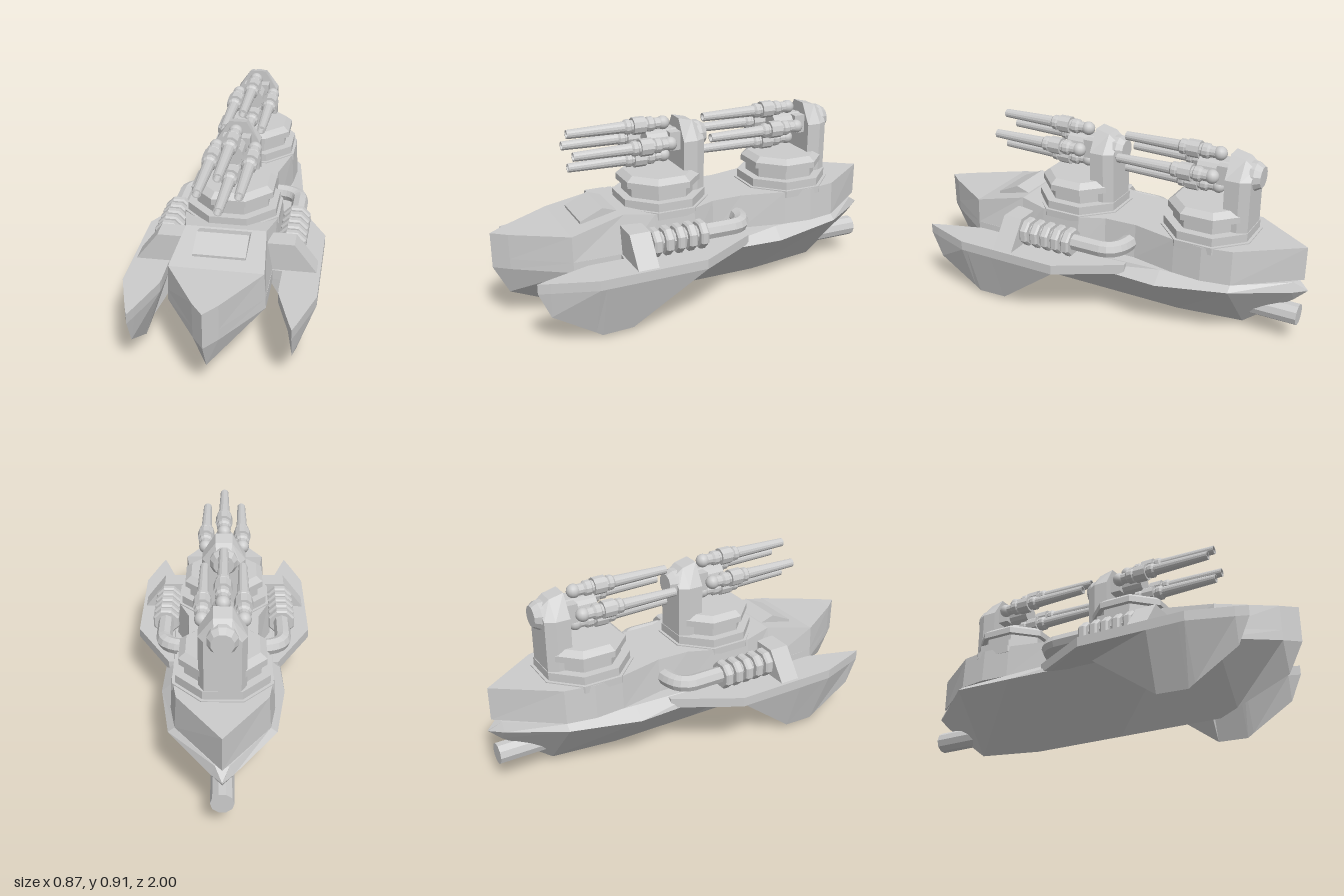
import * as THREE from 'three';

const flat = new THREE.MeshStandardMaterial({ color: 0xcccccc, flatShading: true, side: THREE.DoubleSide });
const smooth = new THREE.MeshStandardMaterial({ color: 0xcccccc });

function add(parent, name, geometry, material = flat) {
  const mesh = new THREE.Mesh(geometry, material);
  mesh.name = name;
  parent.add(mesh);
  return mesh;
}

// Skin equal-length rings of [x, y], given as [z, ring] from back to front; side -1 mirrors in x
function loft(sections, side = 1) {
  const n = sections[0][1].length, pos = [], idx = [];
  for (const [z, ring] of sections) {
    const pts = side < 0 ? ring.map(([x, y]) => [-x, y]).reverse() : ring;
    for (const [x, y] of pts) pos.push(x, y, z);
  }
  const last = (sections.length - 1) * n;
  for (let s = 0; s < last; s += n) {
    for (let i = 0; i < n; i++) {
      const j = (i + 1) % n;
      idx.push(s + i, s + j, s + n + i, s + j, s + n + j, s + n + i);
    }
  }
  for (let i = 1; i < n - 1; i++) {
    idx.push(0, i + 1, i, last, last + i, last + i + 1);
  }
  const g = new THREE.BufferGeometry();
  g.setAttribute('position', new THREE.Float32BufferAttribute(pos, 3));
  g.setIndex(idx);
  g.computeVertexNormals();
  return g;
}

// Turned solid along z from [radius, z] points
function turnedZ(points, sides) {
  return new THREE.LatheGeometry(points.map(([r, z]) => new THREE.Vector2(r, z)), sides, Math.PI / sides)
    .rotateX(Math.PI / 2);
}

// V-bottomed hull: [z, keelY, chineX, chineY, deckX, deckY]
function buildHull(group) {
  const rows = [
    [-1, 0.28, 0, 0.28, 0, 0.285], [-0.94, 0.22, 0.05, 0.28, 0.03, 0.325],
    [-0.7, 0.03, 0.24, 0.31, 0.21, 0.335], [-0.36, 0, 0.29, 0.28, 0.23, 0.335],
    [0.1, 0, 0.27, 0.28, 0.25, 0.335], [0.45, 0, 0.22, 0.285, 0.218, 0.335],
    [0.6, 0, 0.22, 0.285, 0.218, 0.335], [0.68, 0.035, 0.218, 0.285, 0.216, 0.335],
    [0.93, 0.145, 0.055, 0.285, 0.055, 0.335], [1, 0.285, 0, 0.285, 0, 0.335],
  ];
  add(group, 'lowerHull', loft(rows.map(([z, k, cx, cy, dx, dy]) =>
    [z, [[0, k], [cx, cy], [dx, dy], [-dx, dy], [-cx, cy]]])));

  // Raised deck pinched between the turrets: [z, bottomX, topX, topY]
  const deck = [
    [-0.98, 0, 0, 0.5], [-0.7, 0.21, 0.2, 0.5], [-0.56, 0.235, 0.225, 0.5], [-0.42, 0.225, 0.215, 0.5],
    [-0.2, 0.18, 0.165, 0.5], [-0.04, 0.18, 0.17, 0.5], [0.08, 0.235, 0.22, 0.5], [0.28, 0.23, 0.215, 0.5],
    [0.42, 0.217, 0.185, 0.515], [0.68, 0.216, 0.21, 0.458], [0.93, 0.055, 0.055, 0.455], [1, 0, 0, 0.455],
  ];
  add(group, 'upperDeck', loft(deck.map(([z, b, t, y]) =>
    [z, [[-b, 0.335], [b, 0.335], [t, y], [-t, y]]])));

  // Sloped hatch on the foredeck
  const hatch = [[0.41, 0.505], [0.5, 0.535], [0.61, 0.485]];
  add(group, 'foredeckHatch', loft(hatch.map(([z, y]) =>
    [z, [[-0.118, 0.45], [0.118, 0.45], [0.118, y], [-0.118, y]]])));

  const nozzle = add(group, 'sternNozzle', turnedZ([[0, -0.1], [0.052, -0.1], [0.052, 0.16], [0, 0.16]], 10));
  nozzle.position.set(0, 0.145, -0.87);
}

function buildOutrigger(group, side) {
  const part = new THREE.Group();
  part.name = side > 0 ? 'leftOutrigger' : 'rightOutrigger';
  group.add(part);

  // Pontoon: [z, keelX, keelY, innerX, outerX]
  const rows = [
    [-0.19, 0.23, 0.275, 0.2, 0.265], [0.11, 0.3, 0.27, 0.2, 0.435], [0.45, 0.35, 0.02, 0.2, 0.435],
    [0.455, 0.35, 0.02, 0.263, 0.435], [0.6, 0.35, 0.015, 0.263, 0.435], [0.63, 0.35, 0.035, 0.265, 0.435],
    [0.83, 0.35, 0.16, 0.33, 0.37], [0.885, 0.35, 0.285, 0.35, 0.35],
  ];
  add(part, 'pontoon', loft(rows.map(([z, kx, ky, a, b]) =>
    [z, [[kx, ky], [b, 0.285], [b, 0.332], [a, 0.332], [a, 0.285]]]), side));

  // Sloped bracket
  const profile = [[0.18, 0.33], [0.42, 0.33], [0.315, 0.468], [0.18, 0.468]];
  const shape = new THREE.Shape(profile.map(([x, y]) => new THREE.Vector2(x * side, y)));
  add(part, 'bracket', new THREE.ExtrudeGeometry(shape, { depth: 0.1, bevelEnabled: false }).translate(0, 0, 0.345));

  // Ribbed pipe bending into the deck
  const path = new THREE.CurvePath();
  const p = (x, z) => new THREE.Vector3(x * side, 0.405, z);
  path.add(new THREE.LineCurve3(p(0.292, 0.36), p(0.292, -0.08)));
  path.add(new THREE.QuadraticBezierCurve3(p(0.292, -0.08), p(0.292, -0.17), p(0.15, -0.17)));
  add(part, 'pipe', new THREE.TubeGeometry(path, 24, 0.04, 8));
  for (let i = 0; i < 5; i++) {
    const rib = add(part, 'coolingRib',
      turnedZ([[0, -0.021], [0.062, -0.021], [0.07, -0.012], [0.07, 0.012], [0.062, 0.021], [0, 0.021]], 8));
    rib.position.set(0.292 * side, 0.4, 0.085 + i * 0.058);
  }
}

function buildTurret(group, z, name) {
  const turret = new THREE.Group();
  turret.name = name;
  turret.position.z = z;
  group.add(turret);

  // Stepped eight-sided mount
  const steps = [[0, 0.47], [0.24, 0.47], [0.24, 0.505], [0.225, 0.505], [0.225, 0.545], [0.182, 0.545],
    [0.182, 0.595], [0.207, 0.595], [0.207, 0.625], [0.175, 0.65], [0, 0.65]];
  add(turret, 'turretMount',
    new THREE.LatheGeometry(steps.map(([r, y]) => new THREE.Vector2(r, y)), 8, Math.PI / 8));

  // Upright with sloping shoulders and a chamfered back
  const upright = [[-0.205, 0.08, 0.84, 0.035], [-0.16, 0.104, 0.875, 0.04], [-0.09, 0.104, 0.892, 0.04]];
  add(turret, 'gunUpright', loft(upright.map(([uz, w, top, t]) =>
    [uz, [[-w, 0.5], [w, 0.5], [w, 0.79], [t, top], [-t, top], [-w, 0.79]]])));
  const disc = add(turret, 'pivotDrum',
    turnedZ([[0, -0.235], [0.05, -0.235], [0.068, -0.205], [0.068, -0.15], [0, -0.15]], 12));
  disc.position.y = 0.795;

  // Hub carrying the four barrels
  const block = add(turret, 'hubBlock', new THREE.BoxGeometry(0.13, 0.09, 0.07));
  block.position.set(0, 0.79, -0.07);
  const hub = add(turret, 'hub', turnedZ([[0, -0.1], [0.05, -0.1], [0.05, 0.07], [0, 0.07]], 14));
  hub.position.y = 0.79;

  for (const [x, y] of [[0, 0.87], [0, 0.71], [0.09, 0.79], [-0.09, 0.79]]) {
    const gun = new THREE.Group();
    gun.name = 'gun';
    gun.position.set(x, y, 0);
    turret.add(gun);
    const ball = add(gun, 'breechBall', new THREE.SphereGeometry(0.033, 14, 10), smooth);
    ball.position.z = -0.025;
    add(gun, 'receiver', turnedZ([[0, -0.03], [0.027, -0.03], [0.027, 0.02], [0.036, 0.03], [0.036, 0.055],
      [0.03, 0.06], [0.03, 0.14], [0.036, 0.145], [0.036, 0.165], [0.027, 0.175], [0, 0.175]], 12));
    add(gun, 'collar', turnedZ([[0, 0.07], [0.042, 0.07], [0.042, 0.13], [0, 0.13]], 10));
    // Muzzle is bored out
    add(gun, 'barrel', turnedZ([[0.028, 0.16], [0.021, 0.45], [0.016, 0.45], [0.016, 0.4], [0, 0.4]], 14));
  }
}

export function createModel() {
  const model = new THREE.Group();
  model.name = 'gunboat';
  buildHull(model);
  for (const side of [1, -1]) buildOutrigger(model, side);
  buildTurret(model, 0.17, 'frontTurret');
  buildTurret(model, -0.515, 'rearTurret');
  return model;
}
